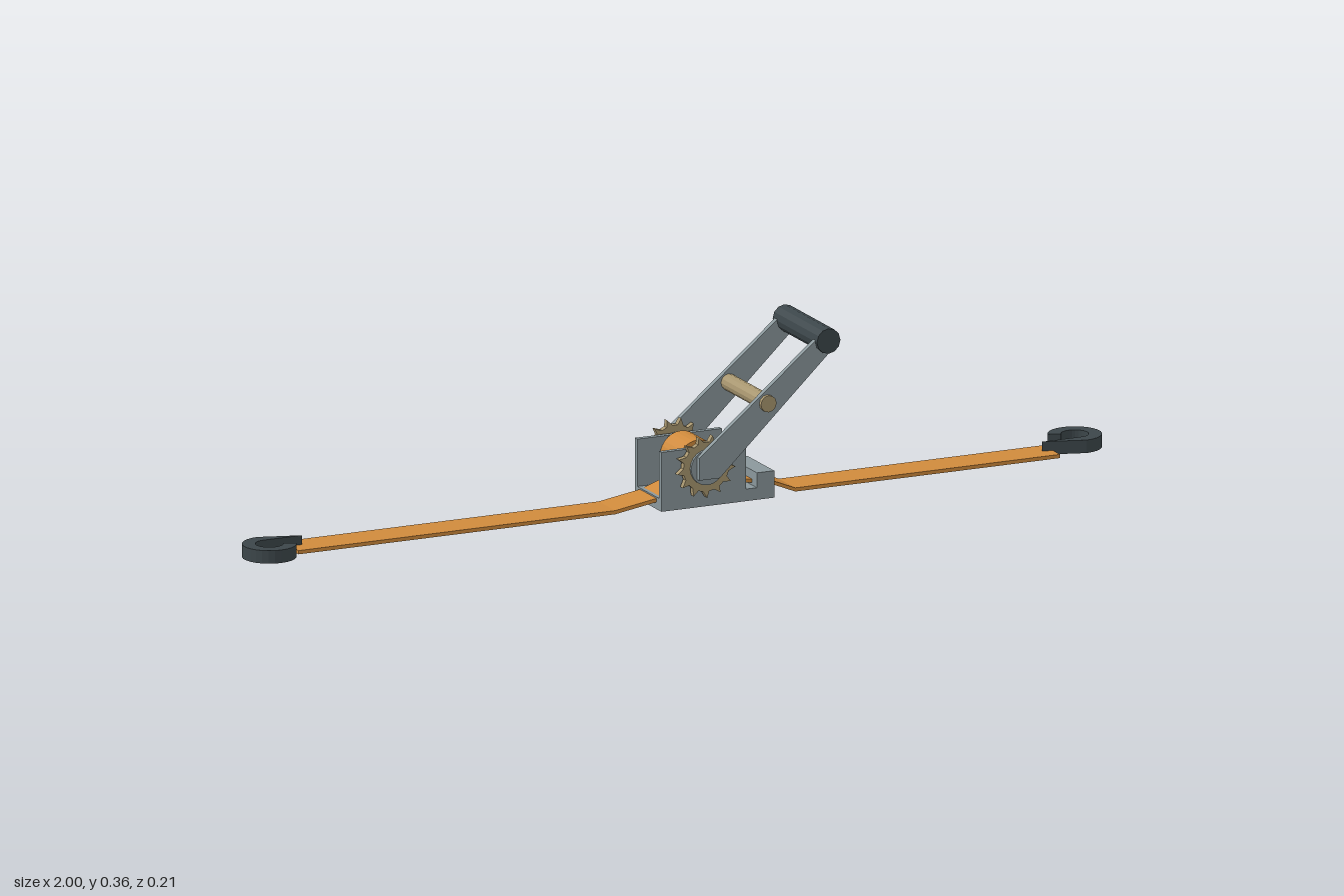
import * as THREE from 'three';

const mat = (color) => new THREE.MeshStandardMaterial({ color, flatShading: true });

export function createModel() {
  const group = new THREE.Group();
  const steel = mat(0x8a979b), dark = mat(0x3c464a), brass = mat(0xa8966f), webbing = mat(0xcf8a3c);

  function add(name, geometry, material, x = 0, y = 0, z = 0) {
    const mesh = new THREE.Mesh(geometry, material);
    mesh.name = name;
    mesh.position.set(x, y, z);
    group.add(mesh);
    return mesh;
  }
  const box = (name, m, x0, x1, y0, y1, z0, z1) =>
    add(name, new THREE.BoxGeometry(x1 - x0, y1 - y0, z1 - z0), m, (x0 + x1) / 2, (y0 + y1) / 2, (z0 + z1) / 2);
  // Cylinder lying along z
  const rod = (name, m, r, length, x, y, sides) =>
    add(name, new THREE.CylinderGeometry(r, r, length, sides).rotateX(Math.PI / 2), m, x, y, 0);
  // Outline in x, y extruded along z, centred on z = 0
  const plate = (points, depth) => new THREE.ExtrudeGeometry(
    new THREE.Shape(points.map(([x, y]) => new THREE.Vector2(x, y))),
    { depth, bevelEnabled: false }).translate(0, 0, -depth / 2);

  // Frame: base, two side plates and the rear crossbar
  box('frameBase', steel, -0.055, 0.205, 0, 0.026, -0.064, 0.064);
  box('frameCrossbar', steel, 0.165, 0.205, 0.026, 0.058, -0.064, 0.064);
  for (const s of [-1, 1]) {
    const z = s * 0.058;
    box('framePlate', steel, -0.055, 0.14, 0.026, 0.128, z - 0.006, z + 0.006);
  }

  // Spool with wound webbing
  const cx = 0.04, cy = 0.09;
  rod('spoolShaft', steel, 0.038, 0.176, cx, cy, 20);
  rod('woundWebbing', webbing, 0.048, 0.082, cx, cy, 28);

  // Ratchet wheels with saw teeth
  const teeth = 13, toothed = [];
  for (let i = 0; i < teeth; i++) {
    for (const [r, f] of [[0.053, 0], [0.053, 0.45], [0.067, 0.8]]) {
      const a = ((i + f) / teeth) * Math.PI * 2;
      toothed.push([r * Math.cos(a), r * Math.sin(a)]);
    }
  }
  // Handle arms, tapering toward the grip
  const armOutline = [[0.016, 0.067], [0.063, 0.067], [0.326, 0.317], [0.294, 0.346], [0.016, 0.115]];
  for (const s of [-1, 1]) {
    add('ratchetWheel', plate(toothed, 0.013), brass, cx, cy, s * 0.076);
    add('handleArm', plate(armOutline, 0.012), steel, 0, 0, s * 0.092);
  }
  rod('handleCrossRod', brass, 0.018, 0.213, 0.172, 0.216, 12);
  rod('handleGrip', dark, 0.027, 0.213, 0.31, 0.335, 12);

  // Straps: thin bands lying on the ground and ramping into the frame
  const t = 0.008;
  const band = (path) => plate([...path, ...path.map(([x, y]) => [x, y + t]).reverse()], 0.08);
  add('rightStrap', band([[-0.88, 0], [-0.15, 0], [-0.055, 0.015], [0.03, 0.044]]), webbing);
  add('leftStrap', band([[0.05, 0.044], [0.2, 0.027], [0.265, 0], [0.875, 0]]), webbing);

  // End hooks: square bar with a straight shank and a curled end
  const hook = new THREE.Shape();
  const start = -Math.PI / 2, end = Math.PI * 0.89;
  hook.moveTo(0.853, -0.028);
  hook.absarc(0.942, 0.029, 0.057, start, end, false);
  hook.absarc(0.942, 0.029, 0.029, end, start, true);
  hook.lineTo(0.853, 0);
  const hookGeo = new THREE.ExtrudeGeometry(hook, { depth: 0.028, bevelEnabled: false, curveSegments: 9 })
    .rotateX(-Math.PI / 2);
  add('leftHook', hookGeo, dark);
  add('rightHook', hookGeo, dark).rotation.y = Math.PI;

  return group;
}
